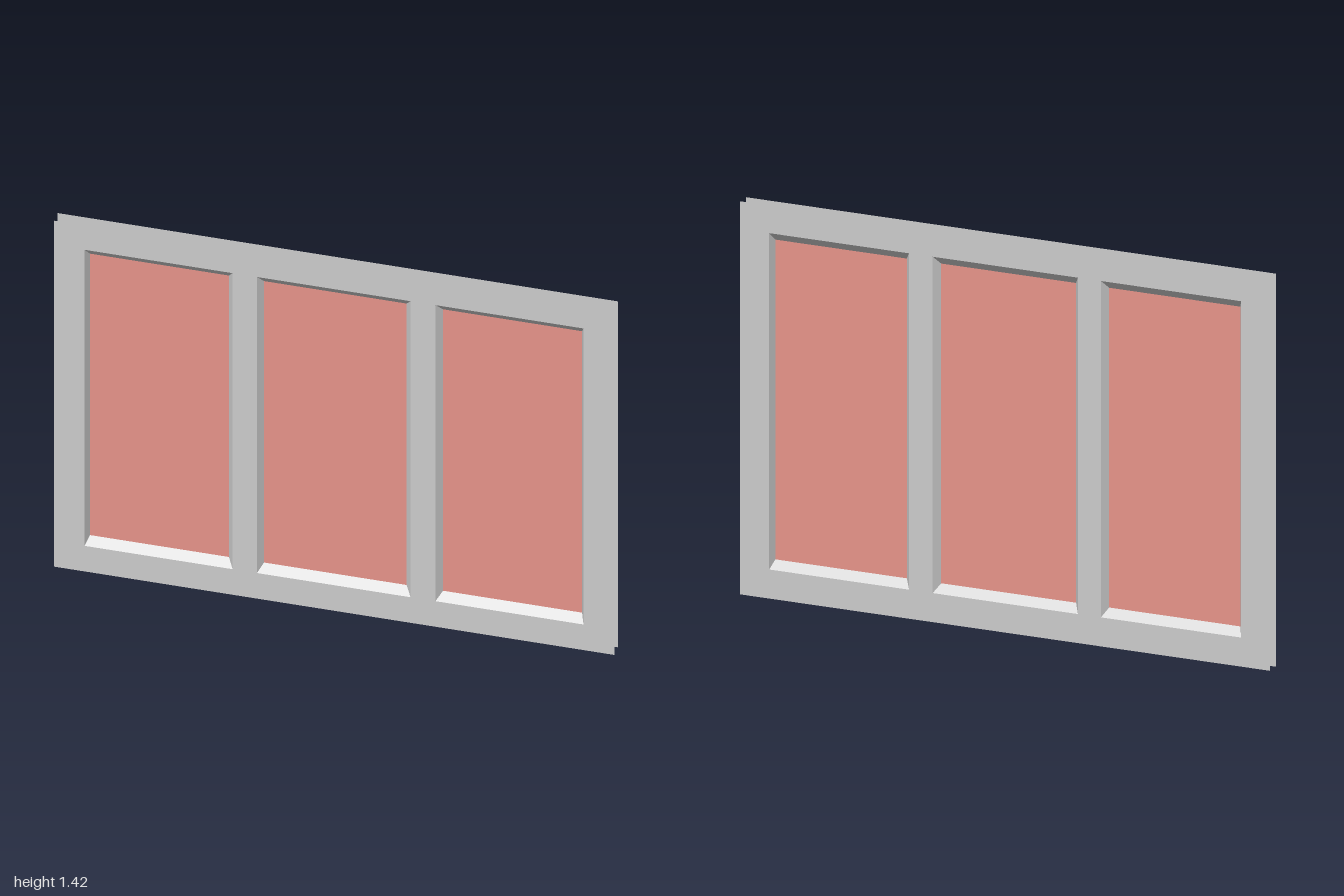
import * as THREE from 'three';

const HEIGHT = 1.42, DEPTH = 0.0245;
const Y0 = 0.105, Y1 = 1.32;          // opening, bottom and top
const PANE_Y0 = 0.136, PANE_Y1 = 1.291; // glass, bottom and top
// opening x range and glass x range of each light
const LIGHTS = [
  { open: [-0.89, -0.362], pane: [-0.878, -0.382] },
  { open: [-0.275, 0.273], pane: [-0.257, 0.252] },
  { open: [0.362, 0.89], pane: [0.382, 0.878] },
];

const corners = ([x0, x1], y0, y1) => [[x0, y0], [x1, y0], [x1, y1], [x0, y1]];
const toPath = (pts, Type) => new Type(pts.map(([x, y]) => new THREE.Vector2(x, y)));

// Four sloping faces between a rectangle at z = za and one at z = 0
function bevelGeometry(outer, inner, za) {
  const pos = [];
  for (let i = 0; i < 4; i++) {
    const j = (i + 1) % 4;
    const a = [...outer[i], za], b = [...outer[j], za];
    const c = [...inner[j], 0], d = [...inner[i], 0];
    const quad = za > 0 ? [a, b, c, a, c, d] : [a, c, b, a, d, c];
    pos.push(...quad.flat());
  }
  const g = new THREE.BufferGeometry();
  g.setAttribute('position', new THREE.Float32BufferAttribute(pos, 3));
  g.computeVertexNormals();
  return g;
}

export function createModel() {
  const group = new THREE.Group();
  group.name = 'window';
  const frameMat = new THREE.MeshStandardMaterial({ color: 0xcccccc, side: THREE.DoubleSide, flatShading: true });
  const glassMat = new THREE.MeshStandardMaterial({ color: 0xe69389, side: THREE.DoubleSide });
  const add = (name, geometry, material) => {
    const mesh = new THREE.Mesh(geometry, material);
    mesh.name = name;
    group.add(mesh);
    return mesh;
  };

  // Thin front and back frame sheets with three openings, open at the outer rim
  const sheet = toPath(corners([-1, 1], 0, HEIGHT), THREE.Shape);
  for (const { open } of LIGHTS) sheet.holes.push(toPath(corners(open, Y0, Y1), THREE.Path));
  const sheetGeo = new THREE.ShapeGeometry(sheet);
  add('frontFrame', sheetGeo, frameMat).position.z = DEPTH;
  const back = add('backFrame', sheetGeo.clone().scale(-1, 1, -1), frameMat);
  // turn the sheet round, keeping the openings in line
  back.geometry.scale(-1, 1, 1);
  const index = back.geometry.index.array;
  for (let i = 0; i < index.length; i += 3) [index[i], index[i + 1]] = [index[i + 1], index[i]];
  back.geometry.computeVertexNormals();
  back.position.z = -DEPTH;

  // Bevelled reveals on both sides and a pane in the middle of each opening
  for (const { open, pane } of LIGHTS) {
    const outer = corners(open, Y0, Y1);
    const inner = corners(pane, PANE_Y0, PANE_Y1);
    add('frontReveal', bevelGeometry(outer, inner, DEPTH), frameMat);
    add('backReveal', bevelGeometry(outer, inner, -DEPTH), frameMat);
    add('pane', new THREE.ShapeGeometry(toPath(inner, THREE.Shape)), glassMat);
  }
  return group;
}
